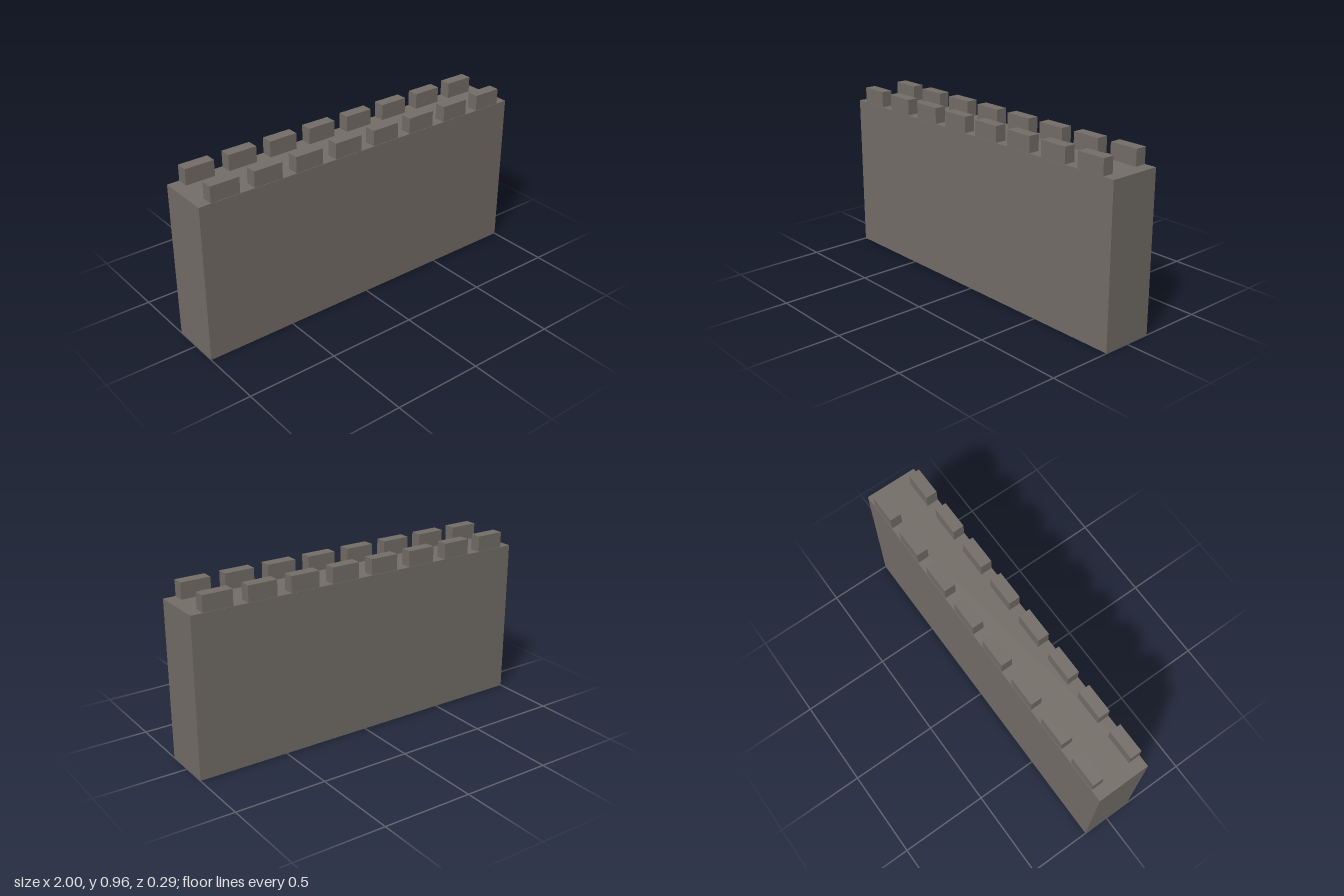
import * as THREE from 'three';

const WALL = { width: 2, height: 0.87, depth: 0.292 };
const MERLON = { width: 0.162, height: 0.087, depth: 0.063, count: 8, firstX: -0.853, z: 0.112 };

export function createModel() {
  const model = new THREE.Group();
  model.name = 'battlementWall';

  const stone = new THREE.MeshStandardMaterial({ color: 0x746e68 });
  stone.name = 'grey stone';

  // Box standing on the given base height
  function block(name, w, h, d, x, baseY, z, parent) {
    const mesh = new THREE.Mesh(new THREE.BoxGeometry(w, h, d), stone);
    mesh.name = name;
    mesh.position.set(x, baseY + h / 2, z);
    parent.add(mesh);
  }

  // Solid wall
  block('wall', WALL.width, WALL.height, WALL.depth, 0, 0, 0, model);

  // A row of merlons along the front and back edges
  const step = (-2 * MERLON.firstX) / (MERLON.count - 1);
  for (const side of [1, -1]) {
    const row = new THREE.Group();
    row.name = side > 0 ? 'frontMerlons' : 'backMerlons';
    for (let i = 0; i < MERLON.count; i++) {
      block('merlon', MERLON.width, MERLON.height, MERLON.depth,
        MERLON.firstX + i * step, WALL.height, side * MERLON.z, row);
    }
    model.add(row);
  }

  return model;
}
